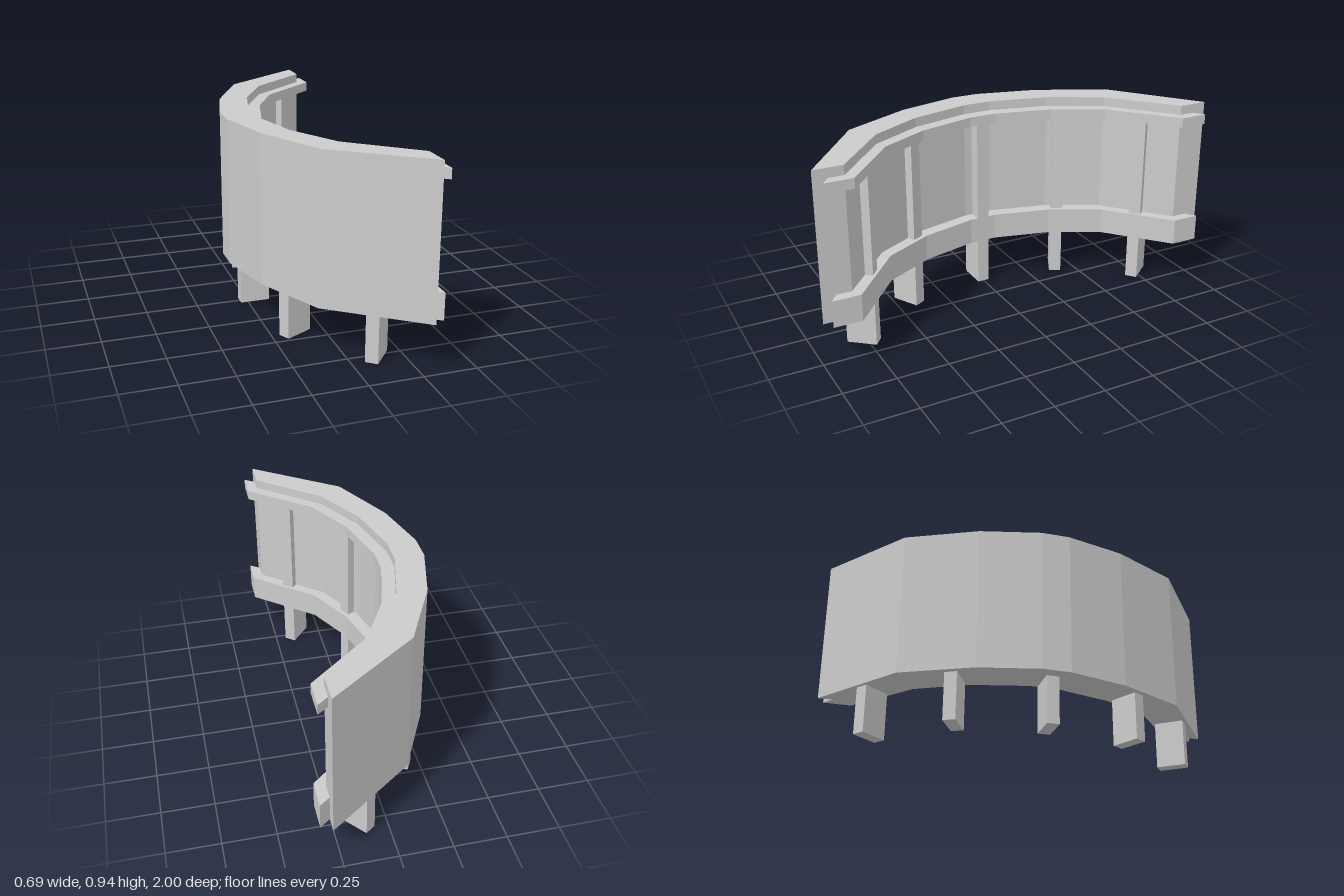
import * as THREE from 'three';

const material = new THREE.MeshStandardMaterial({ color: 0xcccccc, flatShading: true });

// Curved band: half outlines [x, z] run from the open end to the middle, mirrored across z = 0
function band(name, outer, inner, bottom, top) {
  const mirror = (half) => [...half, ...[...half].reverse().map(([x, z]) => [x, -z])];
  const points = [...mirror(outer), ...mirror(inner).reverse()];
  const shape = new THREE.Shape(points.map(([x, z]) => new THREE.Vector2(x, z)));
  const geometry = new THREE.ExtrudeGeometry(shape, { depth: top - bottom, bevelEnabled: false });
  geometry.rotateX(Math.PI / 2).translate(0, top, 0);
  const mesh = new THREE.Mesh(geometry, material);
  mesh.name = name;
  return mesh;
}

export function createModel() {
  const model = new THREE.Group();
  model.name = 'curvedCounter';

  // Thick faceted wall
  const wallOuter = [[0.295, 1], [-0.115, 0.69], [-0.275, 0.36], [-0.347, 0.07]];
  const wallInner = [[0.295, 0.86], [0, 0.605], [-0.135, 0.355], [-0.205, 0.07]];
  model.add(band('wall', wallOuter, wallInner, 0.232, 0.945));

  // Rails on the inner side, reaching past the wall ends
  const railOuter = [[0.345, 0.97], [-0.05, 0.668], [-0.21, 0.355], [-0.28, 0.07]];
  const railInner = [[0.345, 0.835], [0.052, 0.583], [-0.072, 0.345], [-0.142, 0.068]];
  model.add(band('bottomRail', railOuter, railInner, 0.232, 0.36));
  model.add(band('topRail', railOuter, railInner, 0.852, 0.9));

  // Posts rise from the floor to the top rail, turned to follow the curve
  const postHeight = 0.87;
  const postGeometry = new THREE.BoxGeometry(0.143, postHeight, 0.06);
  const posts = [[-0.214, 0, 0], [-0.135, 0.423, 28], [0.13, 0.763, 51]];
  for (const [x, z, angle] of posts) {
    for (const side of z === 0 ? [1] : [1, -1]) {
      const post = new THREE.Mesh(postGeometry, material);
      post.name = 'post';
      post.position.set(x, postHeight / 2, z * side);
      post.rotation.y = THREE.MathUtils.degToRad(angle) * side;
      model.add(post);
    }
  }
  return model;
}
